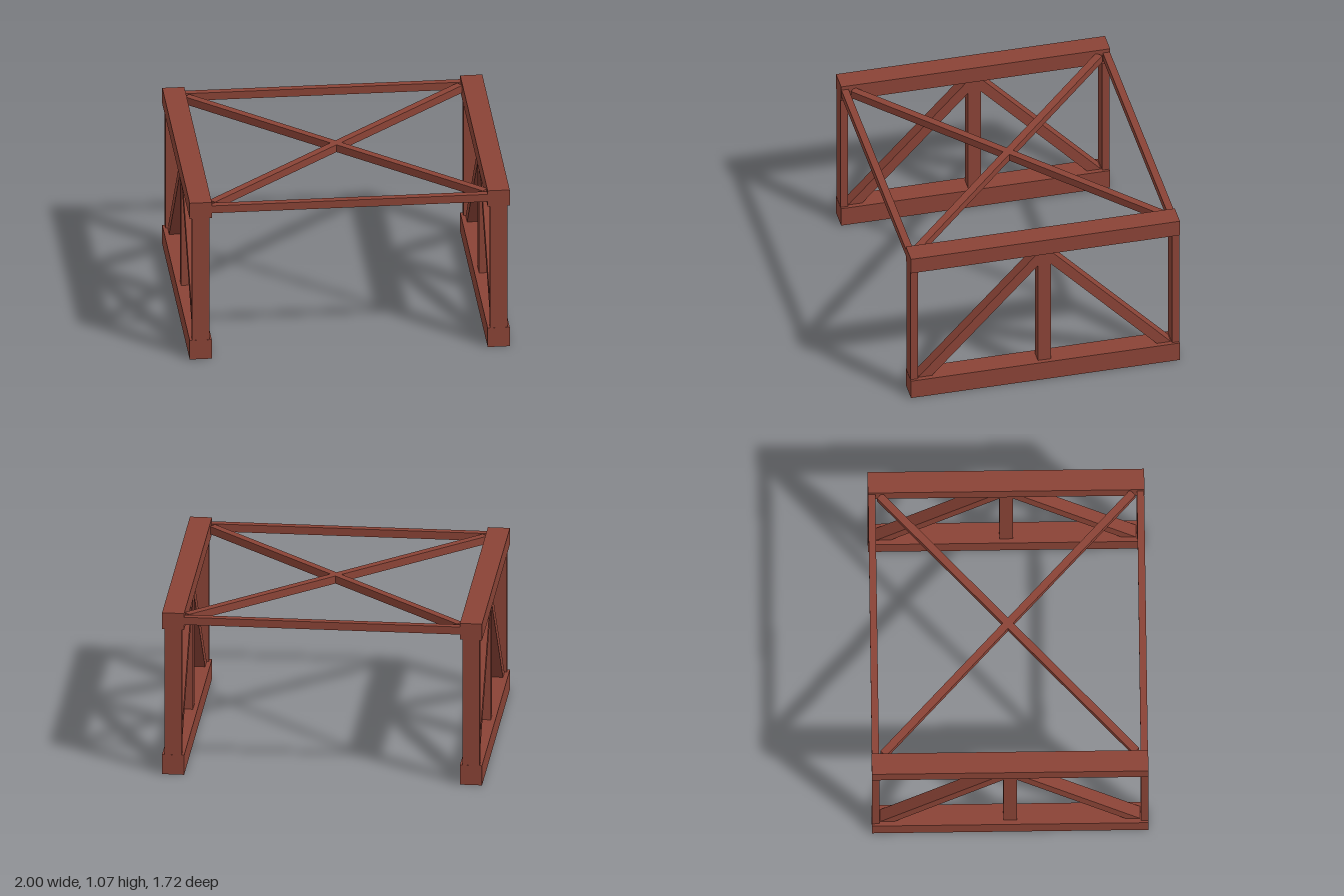
import * as THREE from 'three';

export function createModel() {
  const model = new THREE.Group();
  model.name = 'trussFrame';
  const paint = new THREE.MeshStandardMaterial({ color: 0x8a4336 });
  paint.name = 'rust red paint';

  function add(parent, name, geometry, x, y, z) {
    const mesh = new THREE.Mesh(geometry, paint);
    mesh.name = name;
    mesh.position.set(x, y, z);
    parent.add(mesh);
    return mesh;
  }
  // Box given by its size and centre
  const beam = (parent, name, [w, h, d], [x, y, z]) =>
    add(parent, name, new THREE.BoxGeometry(w, h, d), x, y, z);

  // Slanted strut profile, cut flat where it meets the chords
  const braceDepth = 0.08;
  const braceShape = new THREE.Shape([
    new THREE.Vector2(0.72, 0.128), new THREE.Vector2(0.81, 0.128),
    new THREE.Vector2(0.033, 0.966), new THREE.Vector2(-0.057, 0.966),
  ]);
  const braceGeometry = new THREE.ExtrudeGeometry(braceShape, { depth: braceDepth, bevelEnabled: false });
  braceGeometry.translate(0, 0, -braceDepth / 2);

  // Side trusses
  for (const side of [1, -1]) {
    const truss = new THREE.Group();
    truss.name = side > 0 ? 'leftTruss' : 'rightTruss';
    truss.position.x = side * 0.931;
    model.add(truss);
    beam(truss, 'bottomChord', [0.138, 0.13, 1.72], [0, 0.065, 0]);
    beam(truss, 'topChord', [0.138, 0.108, 1.72], [0, 1.016, 0]);
    beam(truss, 'middlePost', [0.082, 0.84, 0.084], [0, 0.546, 0]);
    for (const end of [1, -1]) {
      const place = end > 0 ? 'front' : 'back';
      beam(truss, place + 'Post', [0.107, 0.84, 0.046], [0, 0.546, end * 0.836]);
      add(truss, place + 'Brace', braceGeometry, 0, 0, 0).rotation.y = -end * Math.PI / 2;
    }
  }

  // Roof: two cross beams and an X of diagonals
  const spanX = 0.853, spanZ = 0.787;
  for (const s of [1, -1]) {
    beam(model, s > 0 ? 'frontCrossBeam' : 'backCrossBeam', [1.74, 0.05, 0.045], [0, 1.02, s * 0.836]);
    const diagonal = beam(model, 'roofDiagonal', [2 * Math.hypot(spanX, spanZ), 0.05, 0.048], [0, 1.02, 0]);
    diagonal.rotation.y = s * Math.atan2(spanZ, spanX);
  }
  return model;
}
